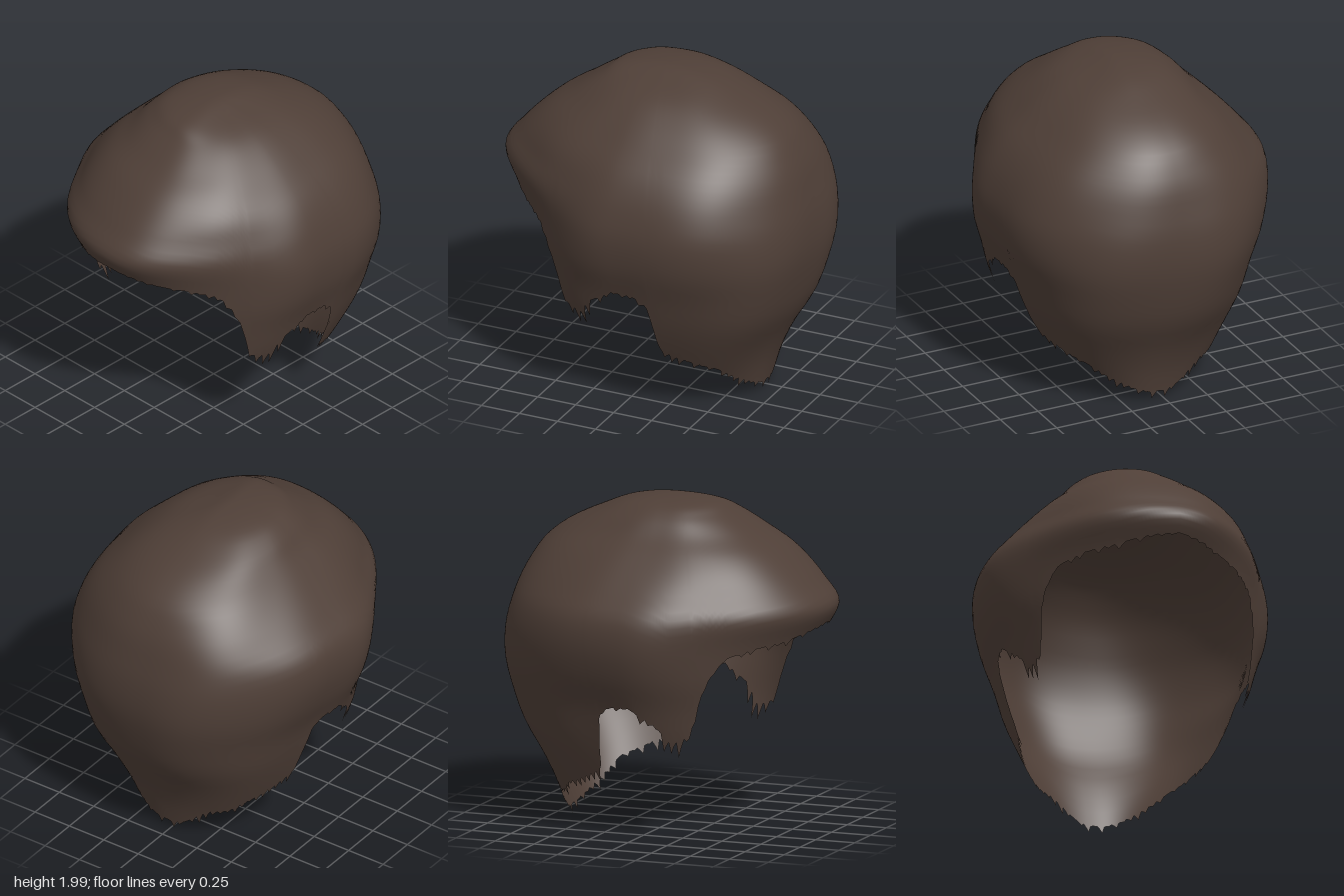
import * as THREE from 'three';

// Outline by height: [y, reach to +x, reach to -x, reach to front, reach to back]
const PROFILE = [
  [2.0, 0, 0, 0, 0],
  [1.97, 0.14, 0.24, 0.28, 0.26],
  [1.9, 0.34, 0.36, 0.4, 0.45],
  [1.8, 0.49, 0.45, 0.55, 0.66],
  [1.7, 0.6, 0.56, 0.7, 0.79],
  [1.6, 0.7, 0.66, 0.81, 0.86],
  [1.5, 0.77, 0.75, 0.9, 0.91],
  [1.37, 0.83, 0.85, 0.99, 0.95],
  [1.2, 0.87, 0.87, 0.91, 0.99],
  [1.0, 0.855, 0.825, 0.84, 1.0],
  [0.8, 0.79, 0.74, 0.78, 0.965],
  [0.6, 0.73, 0.68, 0.74, 0.9],
  [0.4, 0.645, 0.61, 0.68, 0.785],
  [0.2, 0.53, 0.52, 0.6, 0.7],
  [0.0, 0.42, 0.42, 0.5, 0.65],
];

// Lower edge by angle from the front: [degrees, y, length of the ragged tips]
const HEM = [
  [0, 1.27, 0.01], [10, 1.25, 0.02], [20, 1.21, 0.04], [35, 1.18, 0.04],
  [47, 1.13, 0.03], [54, 1.0, 0.06], [58, 0.85, 0.08], [61, 0.65, 0.14],
  [66, 0.63, 0.14], [71, 0.62, 0.14], [77, 0.71, 0.1], [83, 0.76, 0.08],
  [90, 0.82, 0.03], [100, 0.82, 0.03], [106, 0.76, 0.05], [109, 0.58, 0.08],
  [112, 0.42, 0.09], [125, 0.35, 0.06], [140, 0.28, 0.05], [150, 0.2, 0.07],
  [163, 0.11, 0.08], [172, 0.07, 0.06], [180, 0.06, 0.06],
];

// Height is stored as s, which spaces the rows evenly over the dome
const toS = (y) => Math.sqrt(Math.max(0, 2 - y) / 2);
const KEYS = PROFILE.map((row) => toS(row[0]));

// Smooth interpolation of one profile column
function reach(s, col) {
  let i = 0;
  while (i < KEYS.length - 2 && s > KEYS[i + 1]) i++;
  const slope = (k) => {
    const lo = Math.max(0, k - 1), hi = Math.min(KEYS.length - 1, k + 1);
    return (PROFILE[hi][col] - PROFILE[lo][col]) / (KEYS[hi] - KEYS[lo]);
  };
  const h = KEYS[i + 1] - KEYS[i], t = Math.min(1, (s - KEYS[i]) / h);
  const t2 = t * t, t3 = t2 * t;
  return (2 * t3 - 3 * t2 + 1) * PROFILE[i][col] + (t3 - 2 * t2 + t) * h * slope(i)
    + (3 * t2 - 2 * t3) * PROFILE[i + 1][col] + (t3 - t2) * h * slope(i + 1);
}

function hemAt(angle) {
  const wrapped = angle > Math.PI ? 2 * Math.PI - angle : angle;
  const deg = THREE.MathUtils.radToDeg(wrapped);
  let i = 0;
  while (i < HEM.length - 2 && deg > HEM[i + 1][0]) i++;
  const t = (deg - HEM[i][0]) / (HEM[i + 1][0] - HEM[i][0]);
  // The nape is cut a little higher on the -x side
  const lift = angle > Math.PI ? 0.07 * Math.exp(-(((deg - 160) / 9) ** 2)) : 0;
  return {
    y: THREE.MathUtils.lerp(HEM[i][1], HEM[i + 1][1], t) + lift,
    tip: THREE.MathUtils.lerp(HEM[i][2], HEM[i + 1][2], t),
  };
}

// Squareness of the cross-section: a wedge at the fringe, full at the back, round on top
function squareness(sx, cz, y) {
  const { smoothstep, lerp } = THREE.MathUtils;
  const middle = 1.95;
  const round = Math.max(smoothstep(y, 1.4, 1.75), smoothstep(1.2 - y, 0, 0.6));
  const front = lerp(1.63 + 0.35 * cz ** 8, 2.05, round);
  const back = 2.35 + 0.15 * sx;
  return lerp(middle, cz > 0 ? front : back, Math.tanh(3 * Math.abs(cz)));
}

function surfacePoint(angle, s) {
  const sx = Math.sin(angle), cz = Math.cos(angle);
  const y = 2 - 2 * s * s;
  const X = reach(s, sx >= 0 ? 1 : 2), Z = reach(s, cz >= 0 ? 3 : 4);
  const p = squareness(sx, cz, y);
  let r = (Math.abs(sx / X) ** p + Math.abs(cz / Z) ** p) ** (-1 / p);
  // Soft clumps
  r *= 1 + 0.006 * Math.sin(5 * angle + 3 * y) + 0.005 * Math.sin(9 * angle - 4 * y);
  // The fringe sweeps slightly towards +x
  const sweep = 0.09 * s * Math.max(0, cz) ** 6;
  return [r * sx + sweep, y, r * cz];
}

const hash = (n) => {
  const v = Math.sin(n * 127.1 + 3.7) * 43758.5453;
  return v - Math.floor(v);
};

function hairGeometry(cols, rows) {
  const positions = [0, 2, 0];
  const index = [];
  const vertex = (row, col) => 1 + row * cols + (col % cols);
  // Rows run from the crown to the hem; the last one makes ragged tips
  for (let row = 0; row <= rows; row++) {
    for (let col = 0; col < cols; col++) {
      const angle = (col / cols) * Math.PI * 2;
      const hem = hemAt(angle);
      const jag = hem.tip * [0.1, 1, 0.45][col % 3] * hash(Math.floor(col / 3));
      const s = row < rows ? toS(hem.y) * (row + 1) / rows : toS(hem.y - jag - 0.003);
      positions.push(...surfacePoint(angle, s));
    }
  }
  for (let col = 0; col < cols; col++) {
    index.push(0, vertex(0, col), vertex(0, col + 1));
    for (let row = 0; row < rows; row++) {
      const a = vertex(row, col), b = vertex(row + 1, col);
      const c = vertex(row + 1, col + 1), d = vertex(row, col + 1);
      index.push(a, b, c, a, c, d);
    }
  }
  const geometry = new THREE.BufferGeometry();
  geometry.setAttribute('position', new THREE.Float32BufferAttribute(positions, 3));
  geometry.setIndex(index);
  geometry.computeVertexNormals();
  return geometry;
}

export function createModel() {
  const brown = new THREE.MeshStandardMaterial({ color: 0x4f3f37, side: THREE.DoubleSide });
  brown.name = 'dark brown hair';

  const group = new THREE.Group();
  group.name = 'shortHair';
  const hair = new THREE.Mesh(hairGeometry(288, 40), brown);
  hair.name = 'hairShell';
  group.add(hair);
  return group;
}
